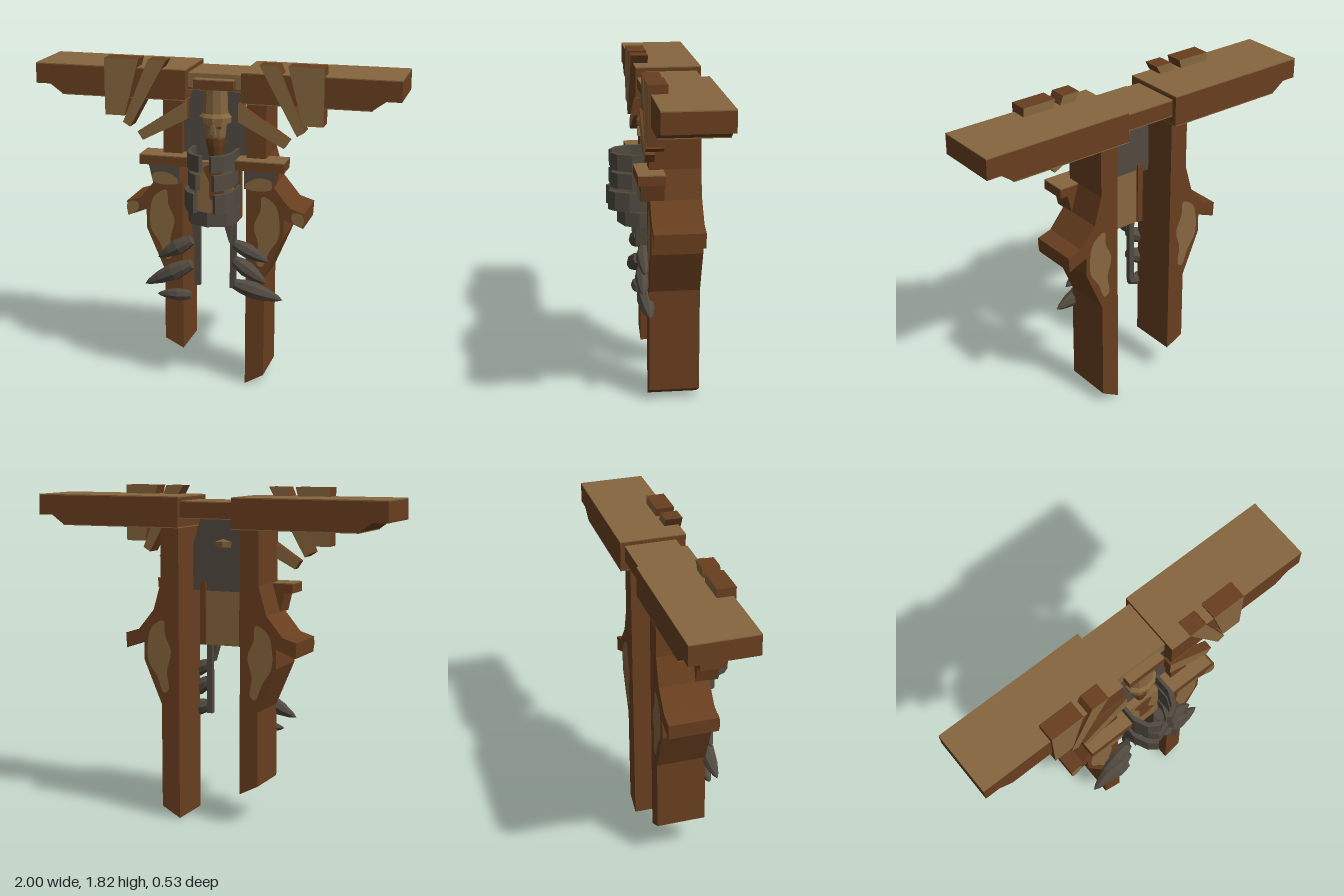
import * as THREE from 'three';

const material = (name, color) => {
  const m = new THREE.MeshStandardMaterial({ color, side: THREE.DoubleSide, flatShading: true });
  m.name = name;
  return m;
};

export function createModel() {
  const model = new THREE.Group();
  model.name = 'hangingTotem';
  const wood = material('dark wood', 0x693f1f);
  const tan = material('worn wood', 0x86673f);
  const iron = material('weathered bone', 0x514a40);

  const add = (name, geo, mat) => {
    const mesh = new THREE.Mesh(geo, mat);
    mesh.name = name;
    model.add(mesh);
    return mesh;
  };
  const outline = (pts, s = 1) => new THREE.Shape(pts.map(([x, y]) => new THREE.Vector2(x * s, y)));
  // Slab with a front outline, from z0 to z1
  const slab = (name, pts, s, z0, z1, mat, sideMat = mat) => {
    const geo = new THREE.ExtrudeGeometry(outline(pts, s), { depth: z1 - z0, bevelEnabled: false });
    return add(name, geo.translate(0, 0, z0), [mat, sideMat]);
  };
  const box = (name, x0, x1, y0, y1, z0, z1, mat) => add(name,
    new THREE.BoxGeometry(Math.abs(x1 - x0), y1 - y0, z1 - z0)
      .translate((x0 + x1) / 2, (y0 + y1) / 2, (z0 + z1) / 2), mat);
  // Rounded painted patch
  const patch = (name, pts, s, z, mat) => {
    const curve = new THREE.CatmullRomCurve3(pts.map(([x, y]) => new THREE.Vector3(x * s, y, 0)), true);
    const shape = new THREE.Shape(curve.getPoints(40).map(p => new THREE.Vector2(p.x, p.y)));
    add(name, new THREE.ShapeGeometry(shape).translate(0, 0, z), mat);
  };
  // Horizontal strip following a path of [x, z] points, with a height range
  const band = (name, path, s, y0, y1, mat) => {
    const inner = path.map(([x, z]) => [Math.max(x - 0.018, 0), z - 0.018]).reverse();
    const shape = outline([...path, ...inner].map(([x, z]) => [x, -z]), s);
    const geo = new THREE.ExtrudeGeometry(shape, { depth: y1 - y0, bevelEnabled: false });
    add(name, geo.rotateX(-Math.PI / 2).translate(0, y0, 0), mat);
  };
  // Bulging claw from a blunt root to a point
  const claw = (root, tip, r) => {
    const a = new THREE.Vector3(...root), b = new THREE.Vector3(...tip), L = a.distanceTo(b);
    const prof = [[0, 0], [0.6, 0.02], [0.85, 0.18], [1, 0.4], [0.75, 0.68], [0.35, 0.9], [0, 1]];
    const geo = new THREE.LatheGeometry(prof.map(([x, y]) => new THREE.Vector2(x * r, y * L)), 8);
    const mesh = add('claw', geo, iron);
    mesh.quaternion.setFromUnitVectors(new THREE.Vector3(0, 1, 0), b.clone().sub(a).normalize());
    mesh.position.copy(a);
  };

  // Centre of the top beam
  box('beamCentre', -0.155, 0.155, 1.66, 1.742, -0.245, 0.03, wood);
  box('beamCentreTop', -0.155, 0.155, 1.742, 1.748, -0.245, 0.035, tan);
  box('beamCentreFront', -0.155, 0.155, 1.67, 1.745, 0.03, 0.035, tan);
  box('beamCentreUnderside', -0.155, 0.155, 1.655, 1.66, -0.245, 0.03, tan);

  for (const s of [-1, 1]) {
    // Top beam arm with worn top and underside
    slab('beamArm', [[0.153, 1.61], [0.85, 1.61], [0.92, 1.66], [1, 1.66], [1, 1.767], [0.153, 1.767]],
      s, -0.27, 0.09, wood);
    box('beamArmTop', 0.153 * s, s, 1.767, 1.773, -0.27, 0.09, tan);
    box('beamArmUnderside', 0.153 * s, 0.85 * s, 1.605, 1.61, -0.27, 0.09, tan);

    // Post with side bulge and horn; the two legs end at different heights
    const foot = s > 0 ? [[0.283, 0.06], [0.178, 0.005]] : [[0.285, 0.228], [0.18, 0.175]];
    if (s > 0) foot[1][1] = 0;
    slab('post', [[0.18, 1.62], [0.285, 1.62], [0.285, 1.31], [0.33, 1.155], [0.42, 1.045], [0.5, 1.02],
      [0.495, 0.937], [0.387, 0.98], [0.387, 0.875], [0.284, 0.635], ...foot], s, -0.21, 0.065, wood);
    const worn = [[0.27, 1.1], [0.34, 1.06], [0.365, 0.97], [0.36, 0.87], [0.31, 0.79],
      [0.27, 0.7], [0.24, 0.72], [0.25, 0.82], [0.225, 0.93], [0.26, 1.02]];
    patch('wornPatchFront', worn, s, 0.069, tan);
    patch('wornPatchBack', worn, s, -0.214, tan);
    patch('hornPatch', [[0.44, 1.02], [0.494, 1.012], [0.49, 0.945], [0.45, 0.96], [0.43, 0.99]], s, 0.069, tan);

    // Shoulder shelf and bracket
    box('shelf', 0.135 * s, 0.4 * s, 1.255, 1.304, -0.01, 0.135, wood);
    box('shelfTop', 0.135 * s, 0.4 * s, 1.304, 1.31, -0.01, 0.135, tan);
    const bracket = [[0.18, 1.15], [0.33, 1.15], [0.355, 1.255], [0.18, 1.255]];
    slab('bracket', bracket, s, -0.01, 0.11, wood);
    slab('bracketFace', bracket, s, 0.11, 0.115, iron);
    patch('bracketPatch', [[0.19, 1.155], [0.325, 1.155], [0.33, 1.2], [0.26, 1.215], [0.19, 1.18]], s, 0.118, tan);

    // Splayed feather boards
    slab('outerBoard', [[0.6, 1.82], [0.408, 1.82], [0.49, 1.51], [0.6, 1.51]], s, 0.005, 0.105, tan, wood);
    slab('middleBoard', [[0.355, 1.82], [0.255, 1.82], [0.46, 1.45], [0.5, 1.475]], s, 0.01, 0.105, tan, wood);
    slab('innerBoard', [[0.14, 1.61], [0.42, 1.425], [0.39, 1.38], [0.14, 1.51]], s, 0.05, 0.1, tan, wood);

    // Rib cage bands, open at the middle except the lowest
    const ribs = [[1.26, 1.35, 0.035, 0.25, 0.13], [1.16, 1.245, 0.05, 0.25, 0.125],
      [1.04, 1.145, 0.06, 0.265, 0.14], [0.95, 1.03, 0, 0.21, 0.135]];
    for (const [y0, y1, gap, z, w] of ribs) {
      band('rib', [[w, 0.02], [w, z - 0.11], [w - 0.035, z - 0.035], [gap, z]], s, y0, y1, iron);
    }
    box('torsoSide', 0.1 * s, 0.135 * s, 0.95, 1.3, -0.03, 0.02, wood);
    box('hangingStrip', 0.085 * s, 0.117 * s, 0.555, 0.97, 0.02, 0.05, iron);
    slab('hangingSpike', [[0.065, 0.96], [0.115, 0.96], [0.1, 0.84]], s, 0.06, 0.12, iron);
  }

  // Back panel and torso core
  slab('backPanel', [[-0.18, 1.25], [0.18, 1.25], [0.18, 1.5], [0.13, 1.66], [-0.13, 1.66], [-0.18, 1.5]],
    1, -0.02, 0.02, iron);
  box('torso', -0.1, 0.1, 0.95, 1.27, -0.02, 0.06, tan);
  patch('torsoPatch', [[-0.06, 1.24], [0.05, 1.25], [0.03, 1.15], [0.07, 1.08], [-0.02, 1.06], [-0.03, 1.16]],
    1, 0.064, wood);

  // Carved figurehead: cap, brow, face, beard
  box('capRim', -0.11, 0.11, 1.67, 1.72, 0.02, 0.085, wood);
  box('capRimTop', -0.11, 0.11, 1.72, 1.725, 0.02, 0.085, tan);
  const carve = (name, prof, mat) => add(name,
    new THREE.LatheGeometry(prof.map(([r, y]) => new THREE.Vector2(r, y)), 10).scale(1, 1, 0.75)
      .translate(0, 0, 0.035), mat);
  carve('cap', [[0.088, 1.49], [0.09, 1.52], [0.07, 1.54], [0.065, 1.67]], tan);
  carve('face', [[0, 1.35], [0.03, 1.36], [0.055, 1.41], [0.065, 1.5], [0, 1.5]], tan);
  carve('beard', [[0, 1.24], [0.02, 1.25], [0.05, 1.36], [0.055, 1.4], [0, 1.4]], wood);
  slab('nose', [[-0.008, 1.48], [0.008, 1.48], [0.016, 1.43], [-0.016, 1.43]], 1, 0.06, 0.097, tan);
  for (const s of [-1, 1]) box('eye', 0.018 * s, 0.042 * s, 1.46, 1.473, 0.07, 0.079, wood);
  box('mouth', -0.022, 0.022, 1.4, 1.408, 0.068, 0.077, wood);

  // Claws gripping the posts
  claw([-0.12, 0.83, 0.08], [-0.315, 0.715, 0.09], 0.045);
  claw([-0.12, 0.69, 0.08], [-0.39, 0.555, 0.1], 0.05);
  claw([-0.125, 0.505, 0.08], [-0.325, 0.495, 0.08], 0.037);
  claw([0.115, 0.83, 0.08], [0.315, 0.74, 0.09], 0.043);
  claw([0.115, 0.735, 0.08], [0.305, 0.62, 0.1], 0.045);
  claw([0.115, 0.595, 0.08], [0.39, 0.52, 0.07], 0.05);

  return model;
}
